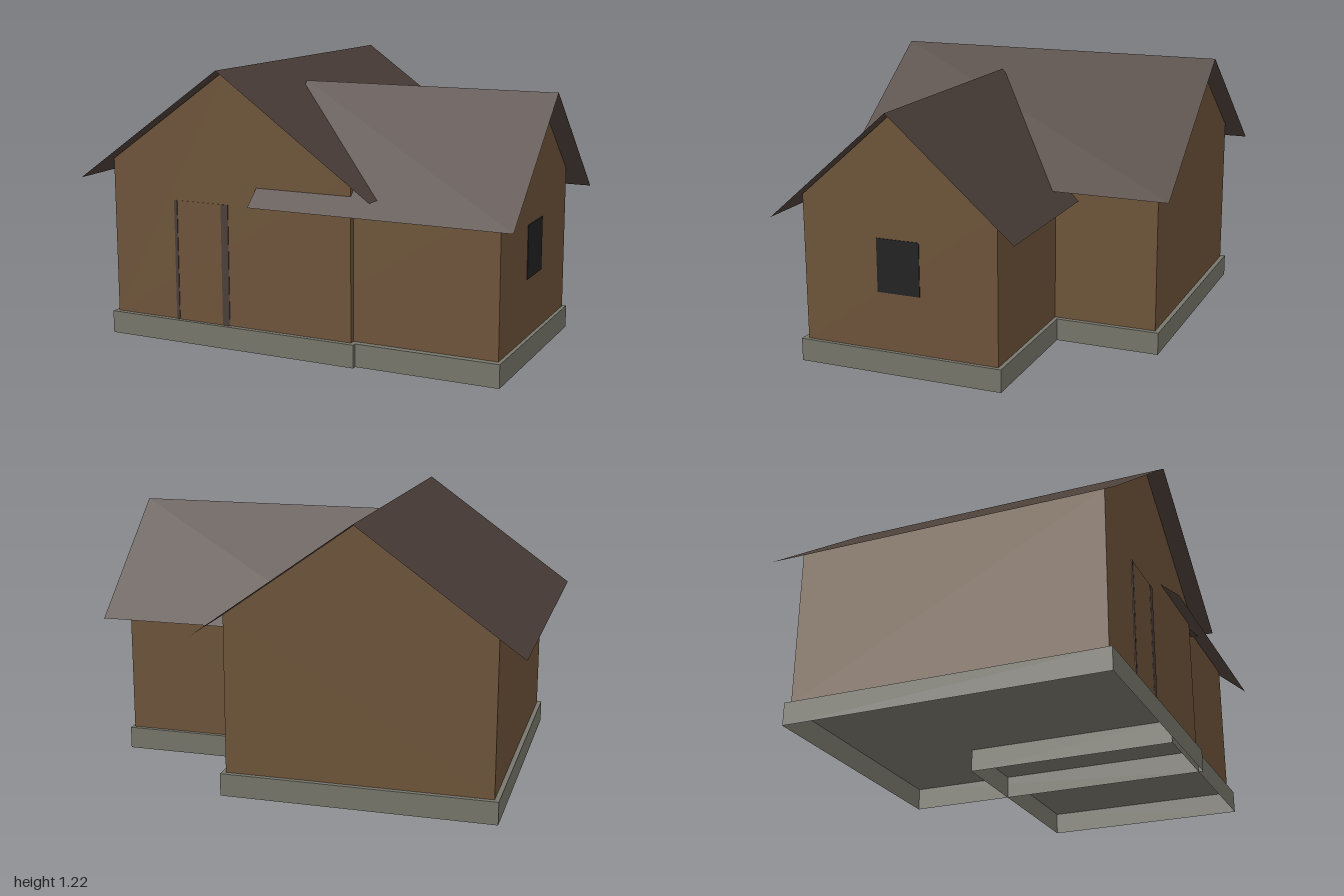
import * as THREE from 'three';

const paint = (name, color, side = THREE.FrontSide) => {
  const m = new THREE.MeshStandardMaterial({ color, side });
  m.name = name;
  return m;
};

export function createModel() {
  const house = new THREE.Group();
  house.name = 'house';
  const wood = paint('brown wood', 0x6e543a);
  const roofing = paint('dark roofing', 0x4c3f39, THREE.DoubleSide);
  const stone = paint('grey stone', 0x78776c, THREE.DoubleSide);
  const glass = paint('dark glass', 0x232323);

  const add = (parent, name, geometry, material) => {
    const mesh = new THREE.Mesh(geometry, material);
    mesh.name = name;
    parent.add(mesh);
    return mesh;
  };
  const box = (name, x0, x1, y0, y1, z0, z1, material) => {
    const g = new THREE.BoxGeometry(x1 - x0, y1 - y0, z1 - z0);
    g.translate((x0 + x1) / 2, (y0 + y1) / 2, (z0 + z1) / 2);
    return add(house, name, g, material);
  };

  // Plinth: a stone tray that is open underneath
  const plinth = (name, x0, x1, z0, z1) => {
    const mesh = box(name, x0, x1, 0, 0.1, z0, z1, Array(6).fill(stone));
    mesh.geometry.groups.splice(3, 1);
  };

  // Gabled block along local z, from near end to far end
  const walls = (parent, name, half, eave, apex, from, to) => {
    const gable = new THREE.Shape([
      [-half, 0.101], [half, 0.101], [half, eave], [0, apex], [-half, eave],
    ].map(([x, y]) => new THREE.Vector2(x, y)));
    const g = new THREE.ExtrudeGeometry(gable, { depth: to - from, bevelEnabled: false });
    g.translate(0, 0, from);
    add(parent, name, g, wood);
  };

  // Two thin sloping sheets that meet at the ridge
  const roof = (parent, name, half, eave, ridge, from, to) => {
    for (const s of [-1, 1]) {
      const g = new THREE.PlaneGeometry(1, 1);
      const p = g.attributes.position;
      for (let i = 0; i < 4; i++) {
        const atEave = p.getX(i) * s > 0;
        const z = p.getY(i) > 0 ? from : to;
        p.setXYZ(i, atEave ? s * half : 0, atEave ? eave : ridge, z);
      }
      g.computeVertexNormals();
      add(parent, name + (s < 0 ? 'SlopeA' : 'SlopeB'), g, roofing);
    }
  };

  // Main block, ridge running front to back
  const main = new THREE.Group();
  main.name = 'mainBlock';
  main.position.x = -0.3;
  house.add(main);
  walls(main, 'mainWalls', 0.58, 0.797, 1.211, -0.69, 0.69);
  roof(main, 'mainRoof', 0.7, 0.715, 1.215, -0.77, 0.77);
  plinth('mainPlinth', -0.9, 0.3, -0.71, 0.71);

  // Side wing, ridge running left to right
  const wing = new THREE.Group();
  wing.name = 'sideWing';
  wing.position.z = 0.22;
  wing.rotation.y = Math.PI / 2;
  house.add(wing);
  walls(wing, 'wingWalls', 0.443, 0.74, 1.126, -0.1, 0.915);
  roof(wing, 'wingRoof', 0.55, 0.65, 1.13, -0.16, 1);
  plinth('wingPlinth', -0.1, 0.93, -0.24, 0.69);

  // Door with dark jambs, and the end window
  box('doorPanel', -0.55, -0.335, 0.05, 0.635, 0.686, 0.692, wood);
  box('doorJambRight', -0.57, -0.555, 0.05, 0.635, 0.686, 0.693, roofing);
  box('doorJambLeft', -0.335, -0.3, 0.05, 0.635, 0.686, 0.693, roofing);
  box('endWindow', 0.911, 0.918, 0.355, 0.588, 0.125, 0.32, glass);

  return house;
}
